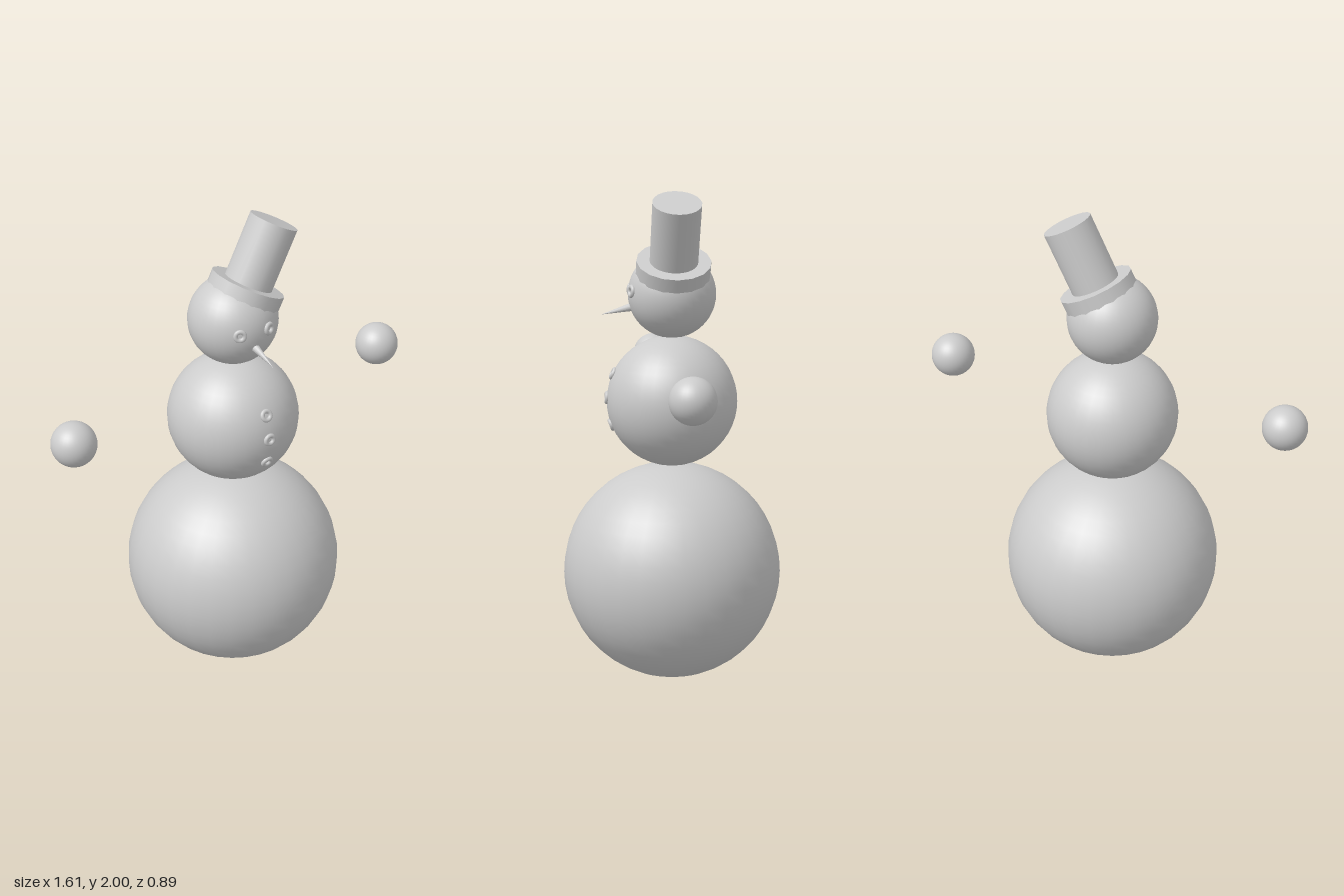
import * as THREE from 'three';

export function createModel() {
  const model = new THREE.Group();
  const material = new THREE.MeshStandardMaterial({ color: 0xcccccc });
  const Z = new THREE.Vector3(0, 0, 1);

  function add(name, geometry, x, y, z, parent = model) {
    const mesh = new THREE.Mesh(geometry, material);
    mesh.name = name;
    mesh.position.set(x, y, z);
    parent.add(mesh);
    return mesh;
  }
  const ball = (name, r, x, y, z = 0) =>
    add(name, new THREE.SphereGeometry(r, 32, 24), x, y, z);

  // Stacked snowballs and floating hands
  const headY = 1.59, headR = 0.178;
  const chestY = 1.156, chestR = 0.266;
  ball('base', 0.447, 0, 0.45);
  ball('chest', chestR, 0, chestY);
  ball('head', headR, 0, headY);
  ball('leftHand', 0.089, 0.717, 1.263, 0.004);
  ball('rightHand', 0.089, -0.717, 1.263, 0.004);

  // Small rings lying on a snowball, facing outwards
  function ring(name, x, y, centreY, radius) {
    const dy = y - centreY;
    const z = Math.sqrt(radius * radius - x * x - dy * dy);
    const mesh = add(name, new THREE.TorusGeometry(0.018, 0.009, 10, 20), x, y, z);
    mesh.quaternion.setFromUnitVectors(Z, new THREE.Vector3(x, dy, z).normalize());
  }
  ring('leftEye', 0.055, 1.605, headY, headR);
  ring('rightEye', -0.072, 1.605, headY, headR);
  [1.27, 1.172, 1.06].forEach((y, i) => ring('button' + (i + 1), 0, y, chestY, chestR));

  // Carrot nose, its tip dipping slightly
  const tip = new THREE.Vector3(-0.004, 1.508, 0.287);
  const root = new THREE.Vector3(-0.004, 1.543, 0.14);
  const length = tip.distanceTo(root);
  const nose = add('nose', new THREE.ConeGeometry(0.02, length, 10), 0, 0, 0);
  nose.position.copy(tip).add(root).multiplyScalar(0.5);
  nose.quaternion.setFromUnitVectors(new THREE.Vector3(0, 1, 0), tip.sub(root).normalize());

  // Top hat tilted to the model's left
  const hat = new THREE.Group();
  hat.name = 'hat';
  hat.position.set(0.058, 1.698, 0);
  hat.rotation.z = -THREE.MathUtils.degToRad(26.5);
  model.add(hat);
  add('brim', new THREE.CylinderGeometry(0.15, 0.15, 0.059, 16), 0, 0, 0, hat);
  add('crown', new THREE.CylinderGeometry(0.097, 0.097, 0.287, 24), 0, 0.1435, 0, hat);

  return model;
}
